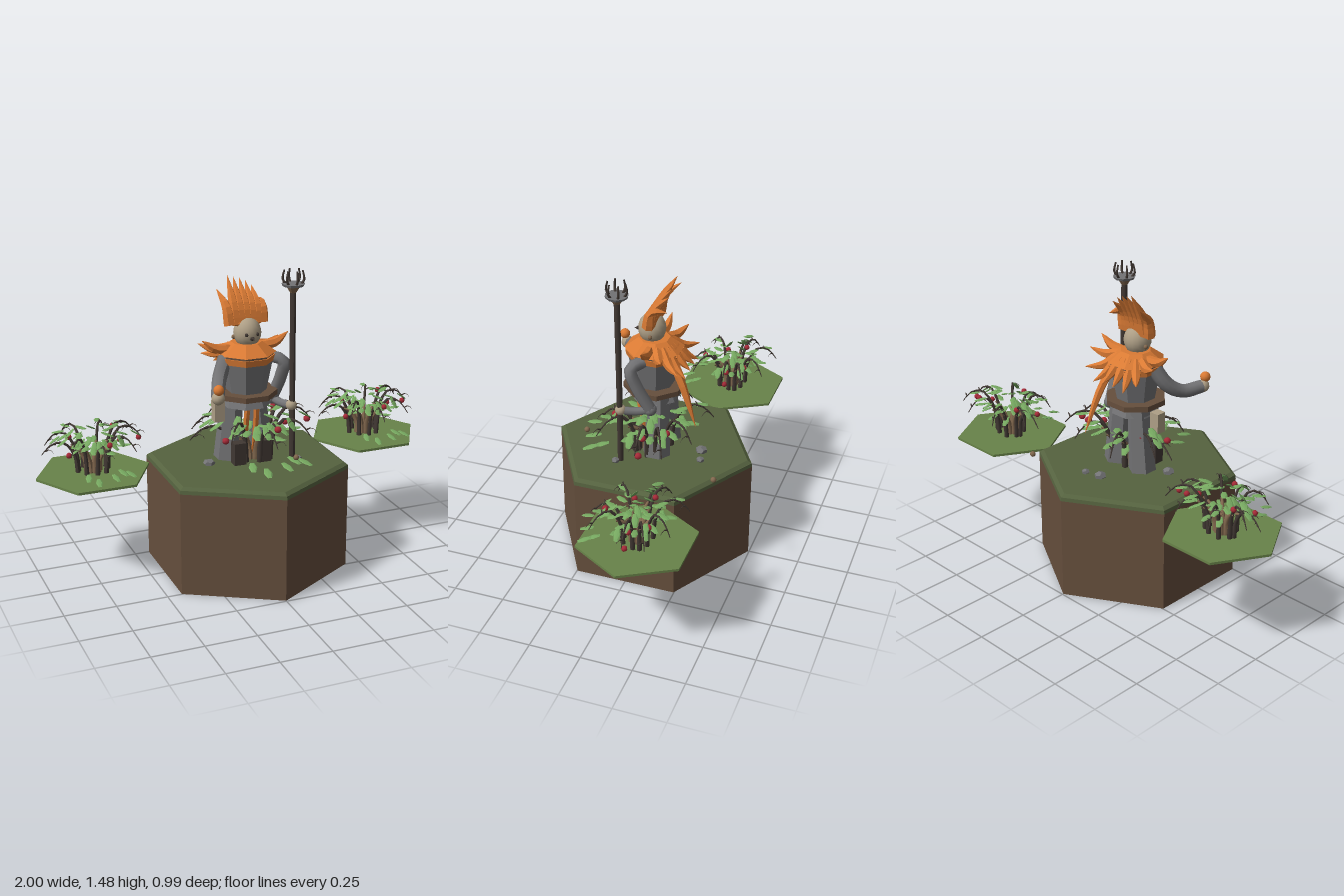
import * as THREE from 'three';
import { mergeGeometries } from 'three/addons/utils/BufferGeometryUtils.js';

const mat = (name, color) => {
  const m = new THREE.MeshStandardMaterial({ color });
  m.name = name;
  return m;
};
const V = (p) => new THREE.Vector3(...p);

// Faceted copy of a geometry
function flat(geo) {
  const g = geo.index ? geo.toNonIndexed() : geo;
  g.computeVertexNormals();
  return g;
}

// Tube along points whose radius follows profile(t)
function taper(points, r, profile = (t) => 1 - t * 0.97, segs = 7, sides = 6) {
  const curve = new THREE.CatmullRomCurve3(points.map(V));
  const g = new THREE.TubeGeometry(curve, segs, r, sides, false);
  const pos = g.attributes.position, v = new THREE.Vector3();
  for (let i = 0; i <= segs; i++) {
    const c = curve.getPointAt(i / segs), k = profile(i / segs);
    for (let j = 0; j <= sides; j++) {
      const n = i * (sides + 1) + j;
      v.fromBufferAttribute(pos, n).sub(c).multiplyScalar(k).add(c);
      pos.setXYZ(n, v.x, v.y, v.z);
    }
  }
  g.computeVertexNormals();
  return g;
}
const feather = (t) => Math.max(0.02, (0.65 + 1.4 * t) * (1 - t));

export function createModel() {
  const M = {
    earth: mat('earth brown', 0x664f3d), moss: mat('moss green', 0x55623f),
    grass: mat('grass green', 0x688349), steel: mat('steel grey', 0x737375),
    orange: mat('orange', 0xd97a34), skin: mat('skin beige', 0xae9f86),
    dark: mat('dark wood', 0x413833), bark: mat('bark brown', 0x83694f),
    leaf: mat('leaf green', 0x76a860), berry: mat('berry red', 0xa62b38),
  };
  const model = new THREE.Group();
  model.name = 'figureOnHexIsland';
  const add = (name, geo, m, p = [0, 0, 0], parent = model) => {
    const mesh = new THREE.Mesh(geo, m);
    mesh.name = name;
    mesh.position.set(...p);
    parent.add(mesh);
    return mesh;
  };
  const cyl = (top, bottom, h, n) => flat(new THREE.CylinderGeometry(top, bottom, h, n));
  const ball = (r, w = 12, h = 8) => new THREE.SphereGeometry(r, w, h);
  const box = (w, h, d) => new THREE.BoxGeometry(w, h, d);

  // Island
  add('earthBlock', cyl(0.495, 0.495, 0.51, 6), M.earth, [0, 0.255, 0]);
  add('mossEdge', cyl(0.493, 0.496, 0.018, 6), M.moss, [0, 0.519, 0]);
  add('mossTop', cyl(0.472, 0.493, 0.014, 6), M.moss, [0, 0.534, 0]);
  for (const s of [-1, 1])
    add('sideTile', cyl(0.28, 0.28, 0.012, 6).rotateY(Math.PI / 6), M.grass, [s * 0.72, 0.508, -0.175]);
  const rocks = [[0, -0.24, 0.03], [0.08, -0.26, 0.02], [-0.2, 0.02, 0.03], [0.22, 0.12, 0.02]];
  for (const [x, z, r] of rocks)
    add('rock', new THREE.DodecahedronGeometry(r), M.steel, [x, 0.548, z]).scale.y = 0.7;
  for (const p of [[0.305, 0.61, -0.395], [0.13, 0.63, 0.3]])
    add('floatingNut', new THREE.IcosahedronGeometry(0.014, 1), M.bark, p);

  // Bush: arching branches, pale stems, leaves and berries
  let seed = 7;
  const rnd = () => (seed = (seed * 16807) % 2147483647) / 2147483647;
  const tips = [[-0.24, -0.03], [-0.21, -0.09], [-0.1, -0.21], [-0.14, 0.14], [0.24, -0.12],
    [0.17, 0.16], [0.11, -0.19], [0.25, -0.02], [0.02, 0.2]];
  const branches = [], stems = [], leaves = [], berries = [];
  const putLeaf = (x, y, z, yaw, pitch) => {
    const g = ball(1, 6, 4).scale(0.016, 0.004, 0.036).rotateX(pitch).rotateY(yaw);
    leaves.push(flat(g.translate(x, y, z)));
  };
  tips.forEach(([x, z], i) => {
    const h = 0.16 + 0.05 * rnd();
    const at = (k, y) => [x * k, y, z * k];
    branches.push(taper([at(0.3, 0), at(0.36, h * 0.6), at(0.58, h), at(0.82, h * 0.93), at(1, h * 0.66)],
      0.012, (t) => 1 - 0.85 * t, 10));
    const a = Math.atan2(x, z);
    for (let k = 0; k < 2; k++) {
      const c = at(0.72 + 0.2 * k, h * 0.95 - 0.03 * k), s = k ? 1 : -1;
      branches.push(taper([c, [c[0] + 0.02 * s, c[1] + 0.01, c[2] + 0.01],
        [c[0] + 0.035 * s, c[1] - 0.01, c[2] + 0.02]], 0.004, undefined, 3, 4));
    }
    stems.push(taper([at(0.12, 0), at(0.15, 0.06), at(0.3, 0.12), at(0.45, 0.135)], 0.016, (t) => 1 - 0.7 * t));
    for (let k = 0; k < 3; k++)
      putLeaf(x * (0.35 + 0.2 * k) + (rnd() - 0.5) * 0.06, h * 0.9 + (rnd() - 0.4) * 0.06,
        z * (0.35 + 0.2 * k) + (rnd() - 0.5) * 0.06, a + rnd() - 0.5, rnd() * 1.2 - 0.2);
  });
  for (let i = 0; i < 20; i++) {
    const a = i * 2.4, r = 0.03 + 0.13 * rnd();
    putLeaf(Math.sin(a) * r, 0.08 + 0.1 * rnd(), Math.cos(a) * r, a, rnd() - 0.3);
  }
  for (const [x, z] of [[-0.04, 0.25], [0.05, 0.22], [0.1, 0.17], [-0.07, 0.18], [0.13, 0.2]])
    putLeaf(x, 0.04, z, x * 4, 0.25);
  for (const p of [[0.14, 0.14, -0.01], [0.24, 0.13, -0.03], [0.05, 0.17, 0.13], [-0.1, 0.17, -0.05],
    [0.13, 0.18, -0.1], [-0.13, 0.12, 0.06]])
    berries.push(ball(0.014, 8, 6).translate(...p));
  const bushParts = [['branches', branches, M.dark], ['stems', stems, M.bark],
    ['leaves', leaves, M.leaf], ['berries', berries, M.berry]]
    .map(([n, list, m]) => [n, mergeGeometries(list), m]);
  for (const [x, y, z, s] of [[-0.72, 0.512, -0.175, 1], [0.72, 0.512, -0.175, 1], [0.03, 0.535, 0, 1.28]]) {
    const bush = new THREE.Group();
    bush.name = 'bush';
    bush.position.set(x, y, z);
    bush.scale.set(s, s * (s > 1 ? 0.88 : 1), s);
    for (const [n, g, m] of bushParts) add(n, g, m, [0, 0, 0], bush);
    model.add(bush);
  }

  // Legs, boots and waist
  for (const s of [-1, 1]) {
    const leg = cyl(0.052, 0.068, 0.34, 6);
    const leg3 = add('leg', leg, M.steel, [s * 0.07, 0.71, -0.04]);
    leg3.rotation.z = s * 0.08;
    add('boot', box(0.06, 0.11, 0.05), M.dark, [s * 0.065, 0.595, 0.065]);
    add('loinStrip', flat(taper([[s * 0.02, 0.87, 0.08], [s * 0.025, 0.74, 0.06], [s * 0.015, 0.56, 0.03]],
      0.02, feather)), M.orange);
  }
  add('pouch', box(0.05, 0.1, 0.05), M.skin, [-0.145, 0.8, 0]);
  const eighth = Math.PI / 8;
  add('hips', cyl(0.1, 0.12, 0.05, 8).rotateY(eighth), M.steel, [0, 0.845, -0.005]);
  add('belt', cyl(0.148, 0.148, 0.026, 8).rotateY(eighth), M.earth, [0, 0.878, 0]);

  // Torso and collar
  add('torso', cyl(0.128, 0.095, 0.17, 8).rotateY(eighth), M.steel, [0, 0.968, 0]);
  add('collarLower', cyl(0.138, 0.132, 0.03, 8).rotateY(eighth), M.orange, [0, 1.052, 0]);
  add('collarBand', cyl(0.131, 0.131, 0.014, 8).rotateY(eighth), M.earth, [0, 1.073, 0]);
  add('collarUpper', cyl(0.075, 0.142, 0.05, 8).rotateY(eighth), M.orange, [0, 1.104, 0]);

  // Feather mantle: angle from the side toward the back, tip radius, tip height
  for (const s of [-1, 1])
    for (const [deg, r, y] of [[3, 0.22, 1.15], [26, 0.23, 1.11], [45, 0.24, 1.04], [62, 0.21, 0.99], [80, 0.19, 1.0]]) {
      const a = (deg * Math.PI) / 180;
      const at = (k, h) => [s * Math.cos(a) * k, h, -Math.sin(a) * k];
      add('mantleFeather', flat(taper([at(0.08, 1.1), at(0.15, (1.08 + y) / 2 - 0.01), at(r, y)],
        0.032, feather)), M.orange);
    }
  add('longFeather', flat(taper([[0.05, 1.07, -0.09], [0.075, 0.95, -0.16], [0.1, 0.74, -0.24]],
    0.026, feather)), M.orange);

  // Head
  add('head', ball(0.066, 16, 12).scale(1, 1.12, 1), M.skin, [0, 1.175, 0.012]);
  add('beak', new THREE.ConeGeometry(0.013, 0.03, 6).rotateX(Math.PI / 2), M.dark, [0, 1.16, 0.086]);
  for (const s of [-1, 1]) {
    add('eye', ball(0.009, 8, 6), M.dark, [s * 0.027, 1.178, 0.07]);
    add('earStud', ball(0.011, 8, 6), M.bark, [s * 0.064, 1.157, 0]);
  }

  // Crest spikes sweeping up and back
  const crest = [[-0.085, -0.115, 1.37], [-0.055, -0.06, 1.43], [-0.028, -0.03, 1.42], [0, 0, 1.415],
    [0.028, 0.03, 1.4], [0.055, 0.06, 1.375], [0.08, 0.085, 1.31]];
  for (const [x, tx, y] of crest)
    add('crestSpike', flat(taper([[x, 1.215, 0.005], [x * 0.9 + tx * 0.15, 1.3, -0.015], [tx, y, -0.09]],
      0.029, (t) => Math.max(0.02, 1 - t * t))), M.orange);
  add('crestRoot', flat(ball(1, 8, 6).scale(0.085, 0.02, 0.034)), M.orange, [0, 1.222, 0.005]);

  // Arm holding the orb
  const full = () => 1;
  add('orbArm', taper([[-0.11, 1.06, 0.01], [-0.155, 0.98, 0.05], [-0.19, 0.935, 0.12], [-0.225, 0.94, 0.215]],
    0.037, (t) => 1 - 0.15 * t, 12, 10), M.steel);
  add('orbHand', ball(0.031), M.skin, [-0.228, 0.942, 0.222]);
  add('orb', ball(0.025), M.orange, [-0.23, 0.985, 0.235]);

  // Arm beside the staff
  add('staffUpperArm', taper([[0.11, 1.05, 0.02], [0.165, 1.03, 0.06], [0.165, 0.95, 0.035], [0.145, 0.82, -0.03]],
    0.03, full, 12, 8), M.steel);
  add('staffForearm', taper([[0.145, 0.82, -0.03], [0.165, 0.81, 0.03], [0.19, 0.815, 0.1]],
    0.02, full, 6, 8), M.steel);
  add('elbow', ball(0.031), M.steel, [0.145, 0.82, -0.03]);
  add('staffHand', ball(0.027), M.skin, [0.19, 0.818, 0.102]);

  // Staff with a pronged head
  add('staffPole', taper([[0.197, 0.53, 0.102], [0.192, 0.95, 0.106], [0.188, 1.39, 0.113]], 0.015, full, 6, 8), M.dark);
  add('staffCup', cyl(0.036, 0.014, 0.035, 8), M.bark, [0.188, 1.388, 0.113]);
  add('staffRing', cyl(0.055, 0.05, 0.012, 10), M.steel, [0.188, 1.41, 0.113]);
  for (let i = 0; i < 6; i++) {
    const a = (i * Math.PI) / 3;
    const at = (r, y) => [0.188 + Math.sin(a) * r, y, 0.113 + Math.cos(a) * r];
    add('staffProng', taper([at(0.035, 1.41), at(0.05, 1.435), at(0.042, 1.48)], 0.007, (t) => 1 - 0.4 * t, 5, 5), M.dark);
  }
  return model;
}
